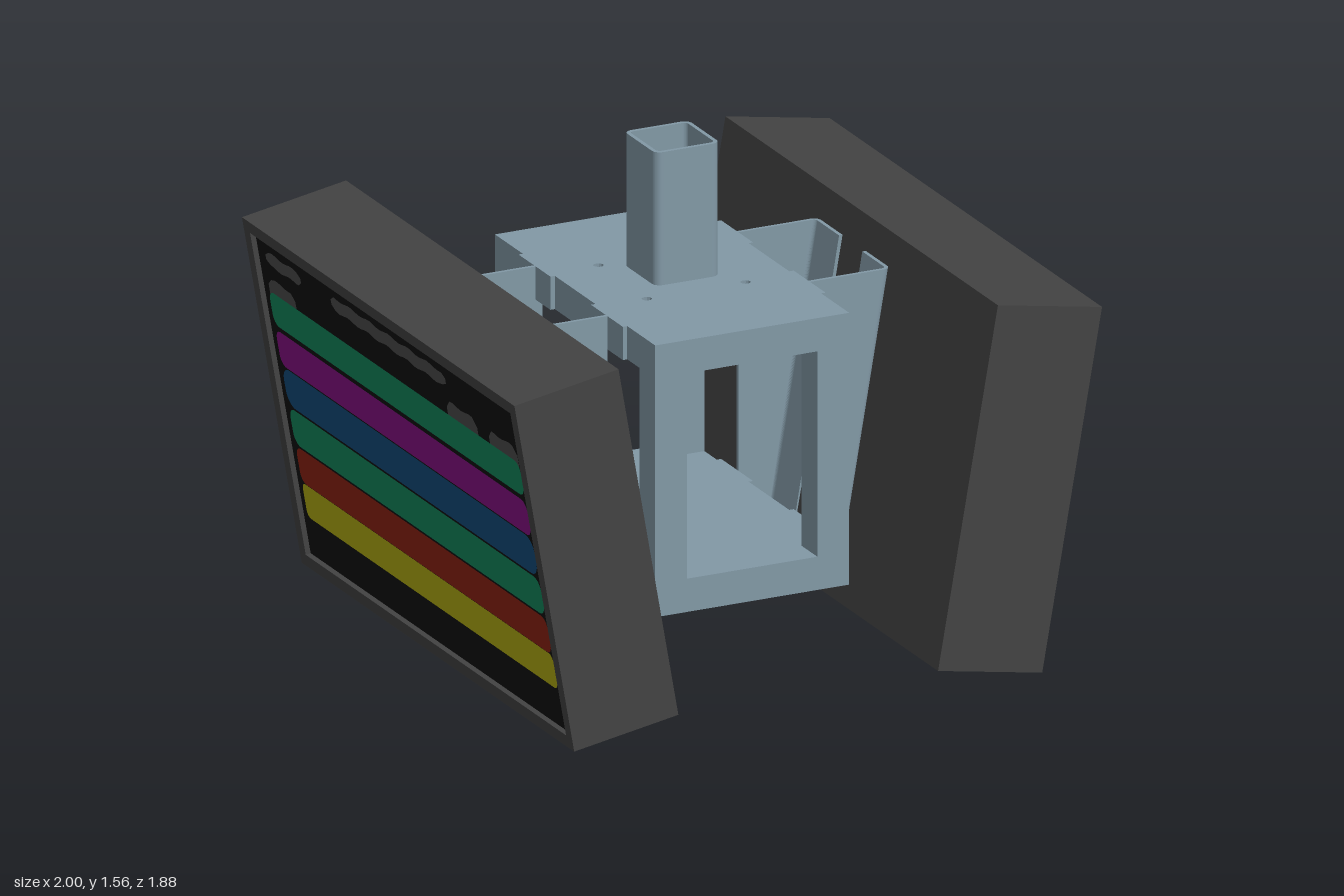
import * as THREE from 'three';

const mat = (name, color) => {
  const m = new THREE.MeshStandardMaterial({ color });
  m.name = name;
  return m;
};

function roundRect(x0, y0, x1, y1, r, Type = THREE.Shape) {
  const s = new Type();
  s.absarc(x1 - r, y1 - r, r, 0, Math.PI / 2);
  s.absarc(x0 + r, y1 - r, r, Math.PI / 2, Math.PI);
  s.absarc(x0 + r, y0 + r, r, Math.PI, Math.PI * 1.5);
  s.absarc(x1 - r, y0 + r, r, Math.PI * 1.5, Math.PI * 2);
  s.closePath();
  return s;
}

// Rounded strip with slightly uneven long edges
function wavyStrip(x0, y0, x1, y1) {
  const n = Math.max(8, Math.round((x1 - x0) / 0.025)), pts = [];
  const h = (y1 - y0) / 2, mid = (y0 + y1) / 2;
  for (const side of [-1, 1]) {
    for (let i = 0; i <= n; i++) {
      const t = side < 0 ? i / n : 1 - i / n;
      const x = x0 + (x1 - x0) * t;
      const edge = Math.min(1, (Math.min(t, 1 - t) * (x1 - x0)) / 0.03);
      const wave = 0.004 * Math.sin(x * 47 + side) * edge;
      pts.push(new THREE.Vector2(x, mid + side * (h * (0.45 + 0.55 * Math.sqrt(edge)) + wave - 0.003)));
    }
  }
  return new THREE.Shape(pts);
}

export function createModel() {
  const steel = mat('steel', 0x8299a6);
  const casing = mat('casing', 0x434343);
  const black = mat('screenBlack', 0x0d0d0d);
  const grey = mat('caption', 0x4c4c4c);
  const green = mat('green', 0x10875c);
  const purple = mat('purple', 0x860e84);
  const blue = mat('blue', 0x104c7a);
  const red = mat('red', 0x8e2210);
  const yellow = mat('yellow', 0xb2ad10);

  const model = new THREE.Group();
  model.name = 'hangingDisplay';
  const add = (parent, name, geo, material, x = 0, y = 0, z = 0) => {
    const m = new THREE.Mesh(geo, material);
    m.name = name;
    m.position.set(x, y, z);
    parent.add(m);
    return m;
  };
  const box = (parent, name, material, [x0, x1], [y0, y1], [z0, z1]) =>
    add(parent, name, new THREE.BoxGeometry(x1 - x0, y1 - y0, z1 - z0), material,
      (x0 + x1) / 2, (y0 + y1) / 2, (z0 + z1) / 2);
  // Extrude a plan shape upwards
  const extrudeUp = (shape, depth) =>
    new THREE.ExtrudeGeometry(shape, { depth, bevelEnabled: false, curveSegments: 6, steps: 1 }).rotateX(-Math.PI / 2);

  // Central open cage
  const W = 0.33, D = 0.553, B = 0.235, T = 1.118, P = 0.108;
  const cage = new THREE.Group();
  cage.name = 'cage';
  model.add(cage);
  box(cage, 'cageFloor', steel, [-W, W], [B, B + P], [-D, D]);
  const roof = new THREE.Shape([[-W, -D], [W, -D], [W, D], [-W, D]].map(p => new THREE.Vector2(...p)));
  for (const x of [-0.168, 0.168]) for (const z of [-0.167, 0.167]) {
    roof.holes.push(new THREE.Path().absarc(x, z, 0.016, 0, Math.PI * 2, true));
  }
  add(cage, 'cageRoof', extrudeUp(roof, P), steel, 0, T - P, 0);
  for (const x of [-W, W - P]) for (const z of [-D, D - P]) {
    box(cage, 'cagePost', steel, [x, x + P], [B + P, T - P], [z, z + P]);
  }

  // Hollow square hanging tube
  const tube = roundRect(-0.11, -0.11, 0.11, 0.11, 0.026);
  tube.holes.push(roundRect(-0.097, -0.097, 0.097, 0.097, 0.014, THREE.Path));
  add(model, 'hangingTube', extrudeUp(tube, 0.432), steel, 0, 1.13, 0);

  // Bent plate bracket: web grows wider towards the top to follow the panel
  const x0 = 0.345, xTop = 0.62, slope = Math.tan(Math.PI / 18);
  function bracketGeometry() {
    const t = 0.012, r = 0.025, z1 = 0.253, zEnd = 0.08;
    const s = new THREE.Shape();
    s.moveTo(W, z1);
    s.lineTo(xTop - r, z1);
    s.absarc(xTop - r, z1 - r, r, Math.PI / 2, 0, true);
    s.lineTo(xTop, zEnd);
    s.lineTo(xTop - t, zEnd);
    s.lineTo(xTop - t, z1 - r);
    s.absarc(xTop - r, z1 - r, r - t, 0, Math.PI / 2, false);
    s.lineTo(W, z1 - t);
    s.closePath();
    const g = extrudeUp(s, T - B).translate(0, B, 0);
    const p = g.attributes.position;
    for (let i = 0; i < p.count; i++) {
      const reach = xTop - x0 - (T - p.getY(i)) * slope;
      if (p.getX(i) > x0) p.setX(i, x0 + (p.getX(i) - x0) * reach / (xTop - x0));
      else p.setX(i, x0);
    }
    g.computeVertexNormals();
    return g;
  }
  const bracketBack = bracketGeometry();

  // One side: brackets and a tilted screen panel; the other is turned half round
  function makeSide(name) {
    const side = new THREE.Group();
    side.name = name;
    add(side, 'backBracket', bracketBack, steel);
    // Half turn about x swaps front and back; y is flipped again by rebuilding the winding
    const front = bracketBack.clone().scale(1, 1, -1);
    const arr = front.attributes.position;
    for (let i = 0; i < arr.count; i += 3) {
      const a = new THREE.Vector3().fromBufferAttribute(arr, i + 1);
      const b = new THREE.Vector3().fromBufferAttribute(arr, i + 2);
      arr.setXYZ(i + 1, b.x, b.y, b.z);
      arr.setXYZ(i + 2, a.x, a.y, a.z);
    }
    front.computeVertexNormals();
    add(side, 'frontBracket', front, steel);
    for (const z of [-0.25, 0.25]) for (const y of [[B, B + P], [T - P, T]]) {
      box(side, 'mountingTab', steel, [W, x0], y, [z - 0.11, z + 0.11]);
    }

    const tilt = Math.PI / 18, hx = 0.18, hy = 0.5865, hz = 0.94, lip = 0.02;
    const panel = new THREE.Group();
    panel.name = 'screenPanel';
    panel.position.set(0.721, 0.609, 0);
    panel.rotation.z = -tilt;
    side.add(panel);
    box(panel, 'casingBody', casing, [-hx, hx - lip], [-hy, hy], [-hz, hz]);
    // Height on the tilted screen for a given height above ground
    const up = y => (y - 0.609 + (hx - lip) * Math.sin(tilt)) / Math.cos(tilt);
    const sy0 = up(0.044), sy1 = up(1.12), sz = 0.898;
    box(panel, 'lowerBezel', casing, [hx - lip, hx], [-hy, sy0], [-hz, hz]);
    box(panel, 'upperBezel', casing, [hx - lip, hx], [sy1, hy], [-hz, hz]);
    for (const s of [-1, 1]) {
      const z = s < 0 ? [-hz, -sz] : [sz, hz];
      box(panel, 'sideBezel', casing, [hx - lip, hx], [sy0, sy1], z);
    }
    const face = hx - lip;
    box(panel, 'screen', black, [face, face + 0.003], [sy0, sy1], [-sz, sz]);

    // Flat screen details; u runs to the right as seen facing the screen
    const decal = (n, shape, material, lift) =>
      add(panel, n, new THREE.ShapeGeometry(shape, 6).rotateY(Math.PI / 2), material, face + lift, 0, 0);
    const captions = [
      [-0.84, 1.03, -0.6, 1.08], [-0.39, 1.03, 0.4, 1.082],
      [-0.855, 0.9, -0.67, 0.987], [0.375, 0.9, 0.585, 0.99], [0.665, 0.9, 0.862, 0.988],
    ];
    for (const [a, b, c, d] of captions) decal('caption', wavyStrip(a, up(b), c, up(d)), grey, 0.006);
    const stripes = [
      [green, 0.826, 0.94, 0.035], [purple, 0.691, 0.81, 0.035], [blue, 0.557, 0.687, 0.05],
      [green, 0.427, 0.55, 0.04], [red, 0.299, 0.42, 0.035], [yellow, 0.182, 0.298, 0.025],
    ];
    for (const [m, a, b, r] of stripes) {
      decal(m.name + 'Stripe', roundRect(-0.857, up(a), 0.872, up(b), r), m, 0.009);
    }
    return side;
  }

  model.add(makeSide('leftSide'));
  const other = makeSide('rightSide');
  other.rotation.y = Math.PI;
  model.add(other);
  return model;
}
